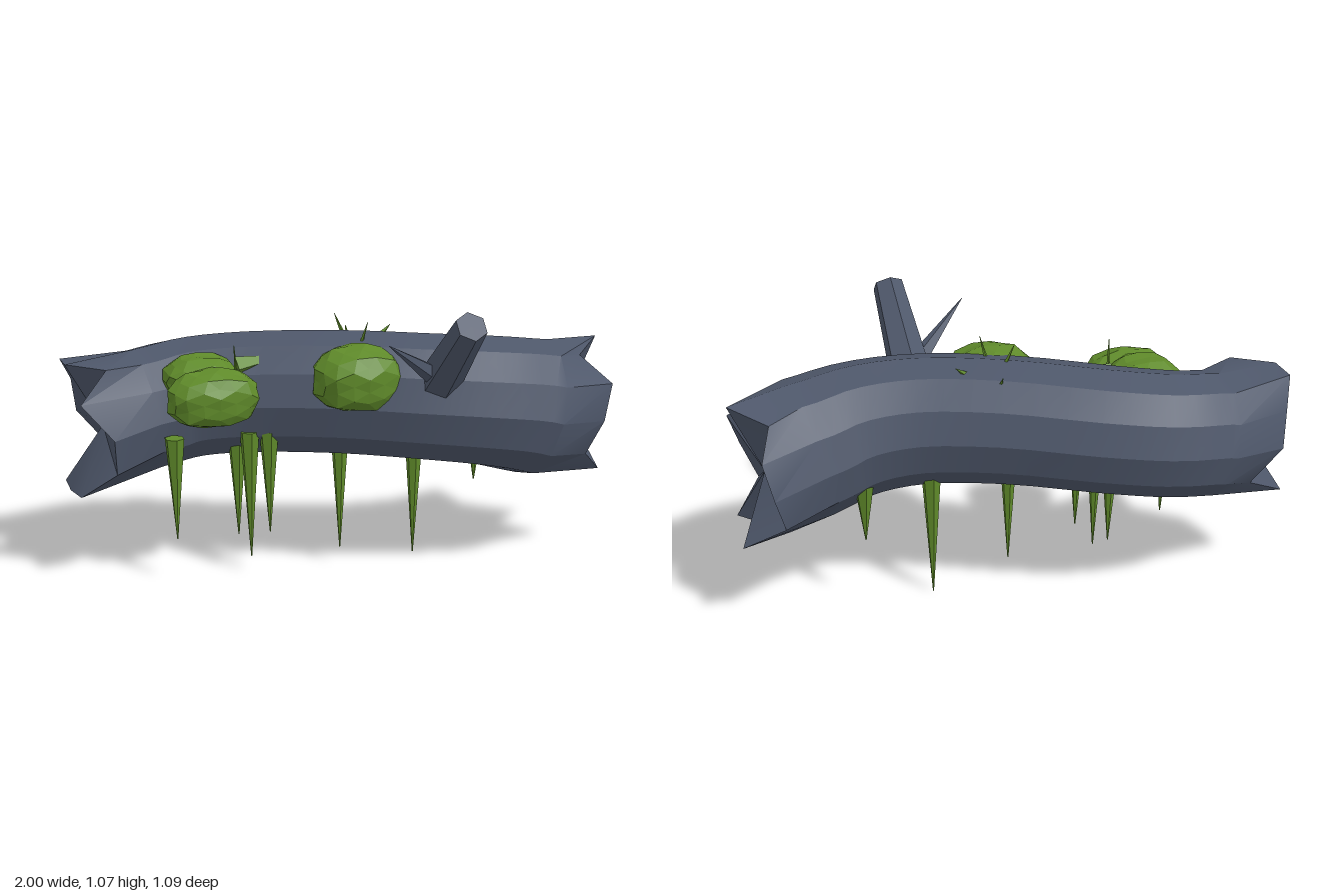
import * as THREE from 'three';
import { toCreasedNormals } from 'three/addons/utils/BufferGeometryUtils.js';

const V = (x, y, z) => new THREE.Vector3(x, y, z);
const SIDES = 12;

// Log: tube along an S-curve with splintered, hollowed ends
function logGeometry() {
  const path = new THREE.CatmullRomCurve3([
    V(-0.7, 0.61, -0.305), V(-0.54, 0.635, -0.312), V(-0.34, 0.655, -0.25), V(0, 0.672, -0.075),
    V(0.3, 0.662, 0.062), V(0.52, 0.637, 0.107), V(0.7, 0.597, 0.1)]);
  const angle = j => (j % SIDES) / SIDES * Math.PI * 2;
  const rings = [];

  // Jagged end: tip reach along x for each side, starting at the top and turning to the front
  const jagged = (reach, y, z, ry, rz, flat) => reach.map((x, j) => V(x,
    y + ry * THREE.MathUtils.clamp(flat * Math.cos(angle(j)), -1, 1), z + rz * Math.sin(angle(j))));

  rings.push(jagged([-1, -0.87, -0.98, -0.87, -0.86, -0.98, -1, -1, -0.82, -0.93, -0.95, -1],
    0.58, -0.24, 0.24, 0.225, 1.13));
  const steps = 20;
  for (let i = 0; i <= steps; i++) {
    const t = i / steps, c = path.getPoint(t), d = path.getTangent(t);
    const side = V(-d.z, 0, d.x).normalize(), up = side.clone().cross(d).normalize();
    const r = 0.232 + 0.03 * t ** 3;
    rings.push(Array.from({ length: SIDES }, (_, j) => c.clone()
      .addScaledVector(up, r * Math.cos(angle(j))).addScaledVector(side, r * Math.sin(angle(j)))));
  }
  rings.push(jagged([1, 0.87, 0.965, 0.92, 0.865, 0.97, 0.8, 1, 0.86, 0.9, 0.93, 0.88],
    0.567, 0.025, 0.265, 0.255, 1));

  const tris = [];
  for (let i = 0; i < rings.length - 1; i++) for (let j = 0; j < SIDES; j++) {
    const k = (j + 1) % SIDES;
    const a = rings[i][j], b = rings[i][k], c = rings[i + 1][j], d = rings[i + 1][k];
    tris.push(a, b, c, b, d, c);
  }
  const first = rings[0], last = rings[rings.length - 1];
  const leftHub = V(-0.87, 0.58, -0.24), rightHub = V(0.88, 0.567, 0.025);
  for (let j = 0; j < SIDES; j++) {
    const k = (j + 1) % SIDES;
    tris.push(leftHub, first[k], first[j], rightHub, last[j], last[k]);
  }
  return toCreasedNormals(new THREE.BufferGeometry().setFromPoints(tris), 0.45);
}

// Tapered rod between two points
function rod(from, to, r0, r1, sides, material) {
  const d = to.clone().sub(from);
  const g = new THREE.CylinderGeometry(r1, r0, d.length(), sides).toNonIndexed();
  g.computeVertexNormals();
  const m = new THREE.Mesh(g, material);
  m.position.copy(from).add(to).multiplyScalar(0.5);
  m.quaternion.setFromUnitVectors(V(0, 1, 0), d.normalize());
  return m;
}

// Lumpy, slightly boxy faceted moss ball
function mossBall(center, radii, seed, material) {
  const g = new THREE.IcosahedronGeometry(1, 2), p = g.attributes.position, v = V(0, 0, 0);
  for (let i = 0; i < p.count; i++) {
    v.fromBufferAttribute(p, i);
    const boxy = (Math.abs(v.x) ** 2.4 + Math.abs(v.y) ** 2.4 + Math.abs(v.z) ** 2.4) ** (-1 / 2.4);
    const lump = 1 + 0.05 * Math.sin(v.x * 9 + seed) * Math.cos(v.y * 8 - seed) + 0.03 * Math.sin(v.z * 10 + seed * 2);
    v.multiplyScalar(boxy * lump).multiply(radii);
    p.setXYZ(i, v.x, v.y, v.z);
  }
  g.computeVertexNormals();
  const m = new THREE.Mesh(g, material);
  m.position.copy(center);
  return m;
}

export function createModel() {
  const bark = new THREE.MeshStandardMaterial({ color: 0x4e576a });
  bark.name = 'slate bark';
  const moss = new THREE.MeshStandardMaterial({ color: 0x5f8a2a, side: THREE.DoubleSide });
  moss.name = 'moss green';

  const model = new THREE.Group();
  model.name = 'mossyLog';
  const add = (mesh, name) => { mesh.name = name; model.add(mesh); };

  add(new THREE.Mesh(logGeometry(), bark), 'log');

  // Broken branch and its twig
  add(rod(V(0.272, 0.7, 0.155), V(0.272, 1.028, 0.505), 0.085, 0.058, 6, bark), 'branch');
  add(rod(V(0.25, 0.79, 0.25), V(0, 0.965, 0.43), 0.04, 0.001, 5, bark), 'twig');

  // Moss clumps
  add(mossBall(V(-0.52, 0.725, 0.035), V(0.165, 0.105, 0.115), 1, moss), 'mossFront');
  add(mossBall(V(-0.53, 0.765, -0.095), V(0.135, 0.085, 0.13), 2.3, moss), 'mossBack');
  add(mossBall(V(0, 0.772, 0.105), V(0.163, 0.12, 0.145), 4, moss), 'mossMiddle');

  // Hanging vines: x, top y, tip y, z
  [[-0.645, 0.56, 0.17, -0.055], [-0.39, 0.53, 0.13, -0.135], [-0.365, 0.56, 0.07, -0.05],
    [-0.295, 0.56, 0.165, -0.035], [-0.02, 0.56, 0.07, -0.035], [0.29, 0.5, 0, -0.065],
    [0.545, 0.5, 0.27, -0.07]].forEach(([x, top, tip, z]) =>
    add(rod(V(x, top, z), V(x, tip, z), 0.037, 0.002, 6, moss), 'hangingVine'));

  // Leaves and blades: base, tip, half width
  [[V(-0.4, 0.8, -0.08), V(-0.21, 0.83, -0.075), 0.04], [V(-0.3, 0.82, -0.07), V(-0.28, 0.73, -0.02), 0.015],
    [V(0.02, 0.86, -0.07), V(-0.02, 0.97, -0.095), 0.012], [V(0.04, 0.86, 0.02), V(0.06, 0.96, 0.05), 0.009],
    [V(0.06, 0.85, -0.17), V(0.06, 0.895, -0.2), 0.01], [V(0.15, 0.87, -0.08), V(0.2, 0.91, -0.095), 0.014],
    [V(-0.42, 0.8, -0.02), V(-0.43, 0.9, 0), 0.006]].forEach(([base, tip, w]) =>
    add(rod(base, tip, w, 0.001, 4, moss), 'leafBlade'));
  return model;
}
